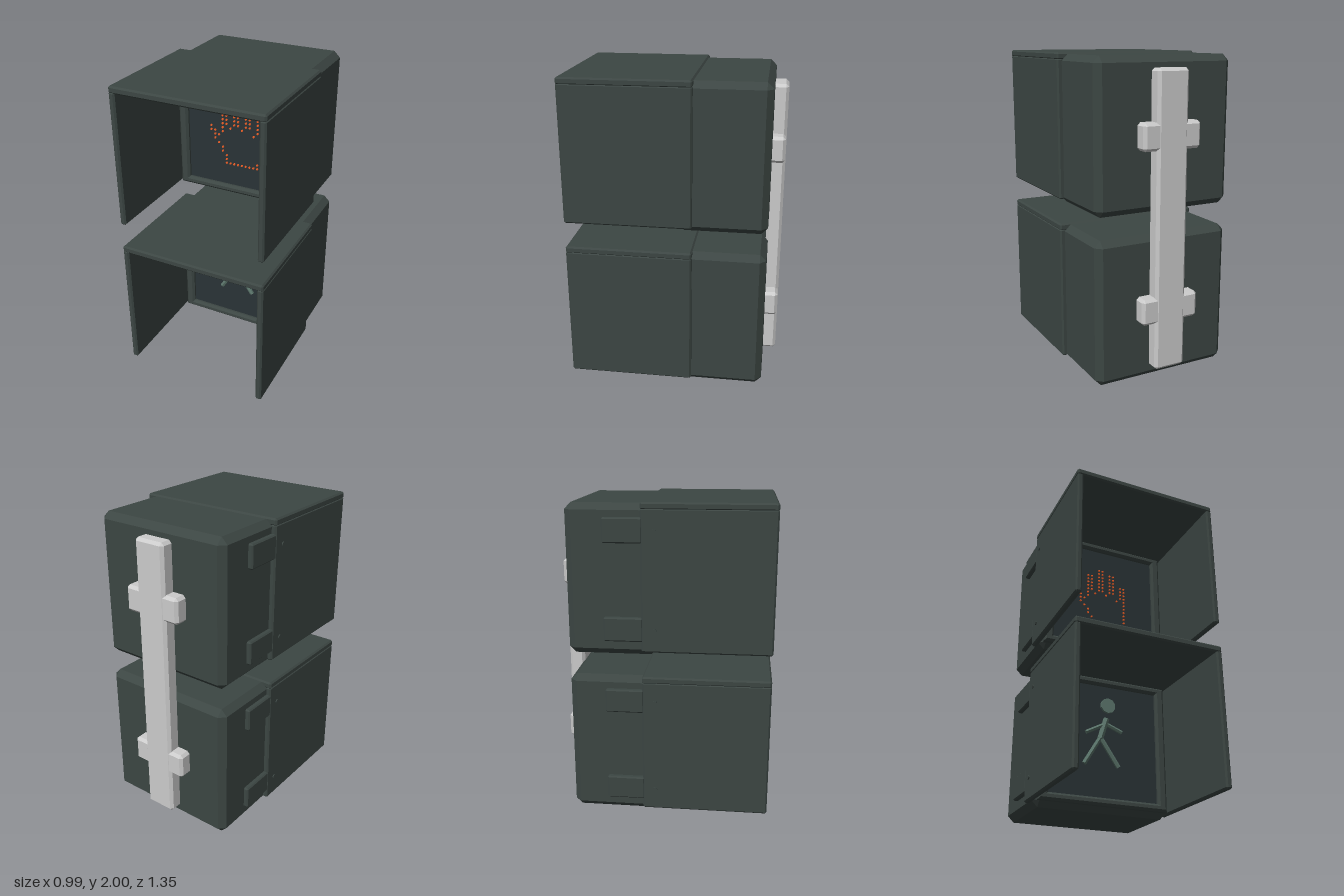
import * as THREE from 'three';
import { ConvexGeometry } from 'three/addons/geometries/ConvexGeometry.js';

const mat = (color) => new THREE.MeshStandardMaterial({ color, flatShading: true });
const housing = mat(0x3c4643), screenMat = mat(0x2a3336), grey = mat(0xcccccc);
const orange = mat(0xf06028), pale = mat(0x5c766c);

function add(parent, name, geometry, material, x = 0, y = 0, z = 0) {
  const mesh = new THREE.Mesh(geometry, material);
  mesh.name = name;
  mesh.position.set(x, y, z);
  parent.add(mesh);
  return mesh;
}

// Box given by its limits, with every edge chamfered by c
function chamferBox(parent, name, material, [x0, x1], [y0, y1], [z0, z1], c) {
  const h = [(x1 - x0) / 2, (y1 - y0) / 2, (z1 - z0) / 2];
  const points = [];
  for (const sx of [-1, 1]) for (const sy of [-1, 1]) for (const sz of [-1, 1])
    for (let axis = 0; axis < 3; axis++) {
      const p = h.map((v, i) => (i === axis ? v : v - c));
      points.push(new THREE.Vector3(p[0] * sx, p[1] * sy, p[2] * sz));
    }
  return add(parent, name, new ConvexGeometry(points), material, (x0 + x1) / 2, (y0 + y1) / 2, (z0 + z1) / 2);
}

const rect = (P, w, h) => new P([[-w, -h], [w, -h], [w, h], [-w, h]].map(([x, y]) => new THREE.Vector2(x, y)));

function signalUnit(name) {
  const unit = new THREE.Group();
  unit.name = name;
  chamferBox(unit, 'body', housing, [-0.46, 0.46], [0, 0.925], [-0.59, -0.035], 0.04);

  // Bevelled frame around the recessed screen
  const frame = rect(THREE.Shape, 0.425, 0.415);
  frame.holes.push(rect(THREE.Path, 0.39, 0.395));
  const frameGeo = new THREE.ExtrudeGeometry(frame, {
    depth: 0.03, bevelEnabled: true, bevelThickness: 0.015, bevelSize: 0.015, bevelSegments: 1,
  });
  add(unit, 'screenFrame', frameGeo, housing, 0, 0.465, -0.045);
  add(unit, 'screen', new THREE.BoxGeometry(0.8, 0.8, 0.02), screenMat, 0, 0.465, -0.038);

  // Hood, open below
  chamferBox(unit, 'hoodTop', housing, [-0.49, 0.49], [0.89, 0.935], [-0.13, 0.67], 0.01);
  for (const s of [-1, 1])
    chamferBox(unit, 'hoodSide', housing, [s * 0.47 - 0.02, s * 0.47 + 0.02], [0.03, 0.9], [-0.13, 0.67], 0.01);

  // Hinges and pins on one side
  for (const y of [0.17, 0.77]) {
    chamferBox(unit, 'hinge', housing, [-0.49, -0.44], [y - 0.075, y + 0.075], [-0.36, -0.12], 0.008);
    const pin = add(unit, 'hingePin', new THREE.CylinderGeometry(0.014, 0.014, 0.02, 8), housing, -0.487, y, -0.05);
    pin.rotation.z = Math.PI / 2;
  }
  return unit;
}

// Hand outline as runs of dots: [column, first row, last row]
function handDots() {
  const hand = new THREE.Group();
  hand.name = 'handSymbol';
  const runs = [
    [0, 8, 9], [1, 6, 8], [2, 5, 5], [2, 7, 7], [3, 3, 4], [3, 8, 14], [4, 0, 2], [4, 10, 14],
    [5, 0, 0], [5, 9, 9], [6, 0, 0], [6, 10, 16], [7, 0, 0], [7, 10, 16], [8, 0, 0], [8, 9, 9],
    [9, 0, 0], [9, 10, 15], [10, 0, 0], [10, 10, 15], [11, 0, 0], [11, 8, 8], [12, 0, 1],
    [12, 9, 12], [13, 2, 12],
  ];
  const dot = new THREE.CylinderGeometry(0.007, 0.007, 0.01, 8).rotateX(Math.PI / 2);
  for (const [col, from, to] of runs)
    for (let row = from; row <= to; row++)
      add(hand, 'dot', dot, orange, -0.208 + col * 0.0277, 0.24 + row * 0.0278, -0.024);
  return hand;
}

// Walking figure made of a disc and five rods
function walkingFigure() {
  const figure = new THREE.Group();
  figure.name = 'walkingSymbol';
  const head = add(figure, 'head', new THREE.CylinderGeometry(0.052, 0.052, 0.02, 10), pale, 0.025, 0.708, -0.02);
  head.rotation.x = Math.PI / 2;
  const rods = [
    ['torso', 0.015, 0.615, -0.03, 0.47, 0.021],
    ['arm', 0.0, 0.575, -0.13, 0.505, 0.014],
    ['arm', 0.01, 0.58, 0.125, 0.535, 0.014],
    ['leg', -0.025, 0.485, -0.14, 0.295, 0.016],
    ['leg', -0.03, 0.485, 0.1, 0.295, 0.016],
  ];
  for (const [name, x0, y0, x1, y1, r] of rods) {
    const geo = new THREE.CylinderGeometry(r, r, Math.hypot(x1 - x0, y1 - y0), 6);
    const rod = add(figure, name, geo, pale, (x0 + x1) / 2, (y0 + y1) / 2, -0.022);
    rod.rotation.z = Math.atan2(y1 - y0, x1 - x0) - Math.PI / 2;
  }
  return figure;
}

export function createModel() {
  const model = new THREE.Group();
  model.name = 'pedestrianSignal';

  const lower = signalUnit('lowerUnit');
  lower.add(walkingFigure());
  const upper = signalUnit('upperUnit');
  upper.add(handDots());
  upper.position.y = 1.065;
  model.add(lower, upper);

  // Rear mounting bar with a cross tab behind each unit
  const bracket = new THREE.Group();
  bracket.name = 'mountingBracket';
  chamferBox(bracket, 'bar', grey, [-0.105, 0.105], [0.075, 1.92], [-0.675, -0.575], 0.018);
  for (const y of [0.465, 1.53])
    chamferBox(bracket, 'crossTab', grey, [-0.195, 0.195], [y - 0.083, y + 0.083], [-0.672, -0.57], 0.018);
  model.add(bracket);
  return model;
}
